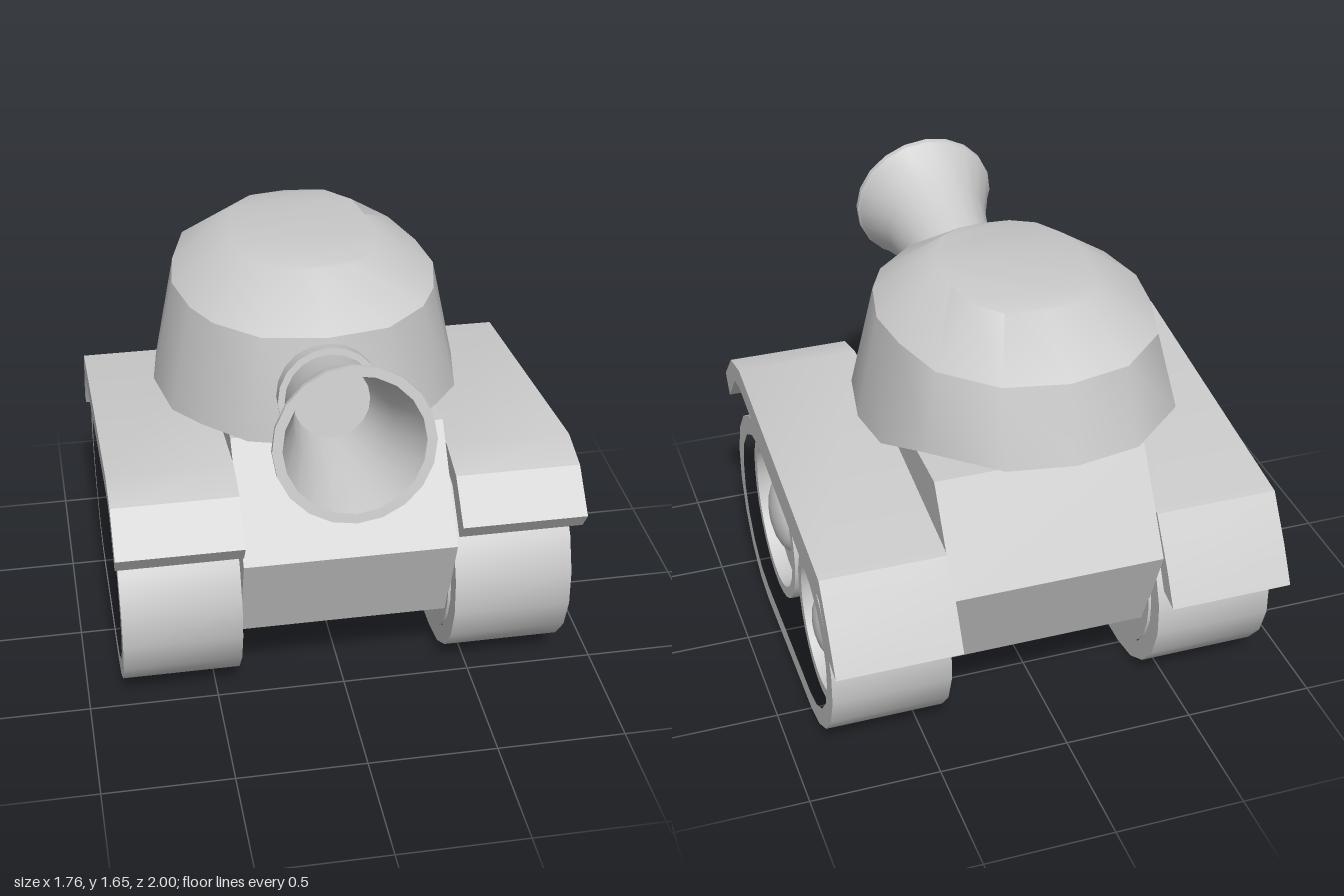
import * as THREE from 'three';
import { toCreasedNormals } from 'three/addons/utils/BufferGeometryUtils.js';

const material = new THREE.MeshStandardMaterial({ color: 0xcccccc });

function mesh(name, geometry, crease = 0.5) {
  const m = new THREE.Mesh(toCreasedNormals(geometry, crease), material);
  m.name = name;
  return m;
}

const vectors = (pts) => pts.map(([a, b]) => new THREE.Vector2(a, b));

// Extrude a (z, y) side profile across x0..x1, with an optional hole
function sideExtrude(name, profile, x0, x1, hole) {
  const shape = new THREE.Shape(vectors(profile));
  if (hole) shape.holes.push(new THREE.Path(vectors(hole)));
  const g = new THREE.ExtrudeGeometry(shape, { depth: x1 - x0, bevelEnabled: false });
  g.rotateY(-Math.PI / 2);
  g.translate(x1, 0, 0);
  return mesh(name, g);
}

// Wheel centres (z, y) and radii, front then rear
const WHEELS = [
  { name: 'frontWheel', z: 0.2, y: 0.43, r: 0.34, hub: 0.16 },
  { name: 'rearWheel', z: -0.49, y: 0.38, r: 0.3, hub: 0.143 },
];

// Loop running round both wheels at a distance from their rims
function beltLoop(gap) {
  const pts = [];
  const steps = 9;
  WHEELS.forEach((w, i) => {
    for (let k = 0; k <= steps; k++) {
      const a = Math.PI * (0.5 - i - k / steps);
      pts.push([w.z + (w.r + gap) * Math.cos(a), w.y + (w.r + gap) * Math.sin(a)]);
    }
  });
  return pts;
}

// Wheel with raised rim, recessed disc and domed hub, axle along x
function makeWheel(w, side) {
  const inner = 0.4, rim = 0.82, disc = 0.76, lip = 0.045;
  const profile = [[0, inner], [w.r, inner], [w.r, rim], [w.r - lip, rim], [w.r - lip, disc], [w.hub, disc]];
  for (let k = 1; k <= 5; k++) {
    const a = (k / 5) * Math.PI / 2;
    profile.push([k === 5 ? 0 : w.hub * Math.cos(a), disc + 0.075 * Math.sin(a)]);
  }
  const m = mesh(w.name, new THREE.LatheGeometry(vectors(profile), 28));
  m.rotation.z = -side * Math.PI / 2;
  m.position.set(0, w.y, w.z);
  return m;
}

// Oval turret: half outlines (x, z) from rear to front, mirrored and skinned
function makeTurret() {
  const levels = [
    [[0, -0.905], [0.25, -0.86], [0.48, -0.655], [0.565, -0.37], [0.595, -0.165], [0.55, 0.09], [0.45, 0.22], [0.3, 0.37], [0, 0.46]],
    [[0, -0.825], [0.235, -0.775], [0.42, -0.6], [0.485, -0.37], [0.51, -0.165], [0.465, 0.05], [0.395, 0.19], [0.235, 0.335], [0, 0.375]],
    [[0, -0.58], [0.15, -0.555], [0.24, -0.45], [0.265, -0.3], [0.28, -0.16], [0.25, -0.03], [0.19, 0.07], [0.1, 0.12], [0, 0.13]],
  ];
  const heights = [1.07, 1.48, 1.64];
  const n = 16;
  const pos = [], idx = [];
  levels.forEach((half, l) => {
    for (let i = 0; i < n; i++) {
      const [x, z] = half[i <= 8 ? i : n - i];
      const y = l === 0 && z < -0.6 ? 1.19 : heights[l]; // raised rear underside
      pos.push(i <= 8 ? x : -x, y, z);
    }
  });
  const quad = (a, b, c, d) => idx.push(a, b, c, a, c, d);
  for (let l = 0; l < 2; l++) {
    for (let i = 0; i < n; i++) {
      const a = l * n + i, b = l * n + (i + 1) % n;
      quad(a, a + n, b + n, b);
    }
  }
  // Roof and underside, in strips from right to left
  for (let k = 0; k < 8; k++) {
    const r0 = k, r1 = k + 1, l0 = (n - k) % n, l1 = n - k - 1;
    const t = 2 * n;
    quad(t + r0, t + l0, t + l1, t + r1);
    quad(r0, r1, l1, l0);
  }
  const g = new THREE.BufferGeometry();
  g.setAttribute('position', new THREE.Float32BufferAttribute(pos, 3));
  g.setIndex(idx);
  const m = mesh('turret', g, 0.65);
  m.position.x = -0.045;
  return m;
}

// Flared gun and its collar, turned about the tilted barrel axis
function makeGun() {
  const gun = new THREE.Group();
  gun.name = 'gun';
  const barrel = [[0.165, -0.05], [0.17, 0], [0.18, 0.13], [0.207, 0.275], [0.278, 0.455], [0.288, 0.465],
    [0.288, 0.485], [0.252, 0.485], [0.18, 0.25], [0.142, 0.02], [0, 0.02]];
  const collar = [[0, -0.075], [0.19, -0.075], [0.195, 0], [0.165, 0]];
  gun.add(mesh('barrel', new THREE.LatheGeometry(vectors(barrel), 20)));
  gun.add(mesh('collar', new THREE.LatheGeometry(vectors(collar), 20)));
  gun.rotation.x = THREE.MathUtils.degToRad(79.6);
  gun.position.set(-0.05, 1.28, 0.47);
  return gun;
}

export function createModel() {
  const model = new THREE.Group();
  model.name = 'tank';

  const hull = [[0.64, 0.69], [0.33, 1.065], [-0.66, 1.06], [-0.89, 0.69], [-0.73, 0.3], [0.49, 0.3]];
  model.add(sideExtrude('hull', hull, -0.405, 0.405));

  const fender = [[0.71, 0.82], [0.57, 0.96], [0.41, 1], [-0.81, 0.84], [-0.925, 0.67], [-1, 0.535],
    [-0.91, 0.555], [-0.86, 0.65], [-0.8, 0.745], [0.43, 0.91], [0.52, 0.89], [0.655, 0.745]];

  // Running gear on both sides
  for (const side of [1, -1]) {
    const gear = new THREE.Group();
    gear.name = side > 0 ? 'leftRunningGear' : 'rightRunningGear';
    const span = (a, b) => (side > 0 ? [a, b] : [-b, -a]);
    gear.add(sideExtrude('fender', fender, ...span(0.405, 0.88)));
    gear.add(sideExtrude('trackBelt', beltLoop(0.08), ...span(0.41, 0.865), beltLoop(0.003)));
    WHEELS.forEach((w) => gear.add(makeWheel(w, side)));
    model.add(gear);
  }

  model.add(makeTurret(), makeGun());
  return model;
}
